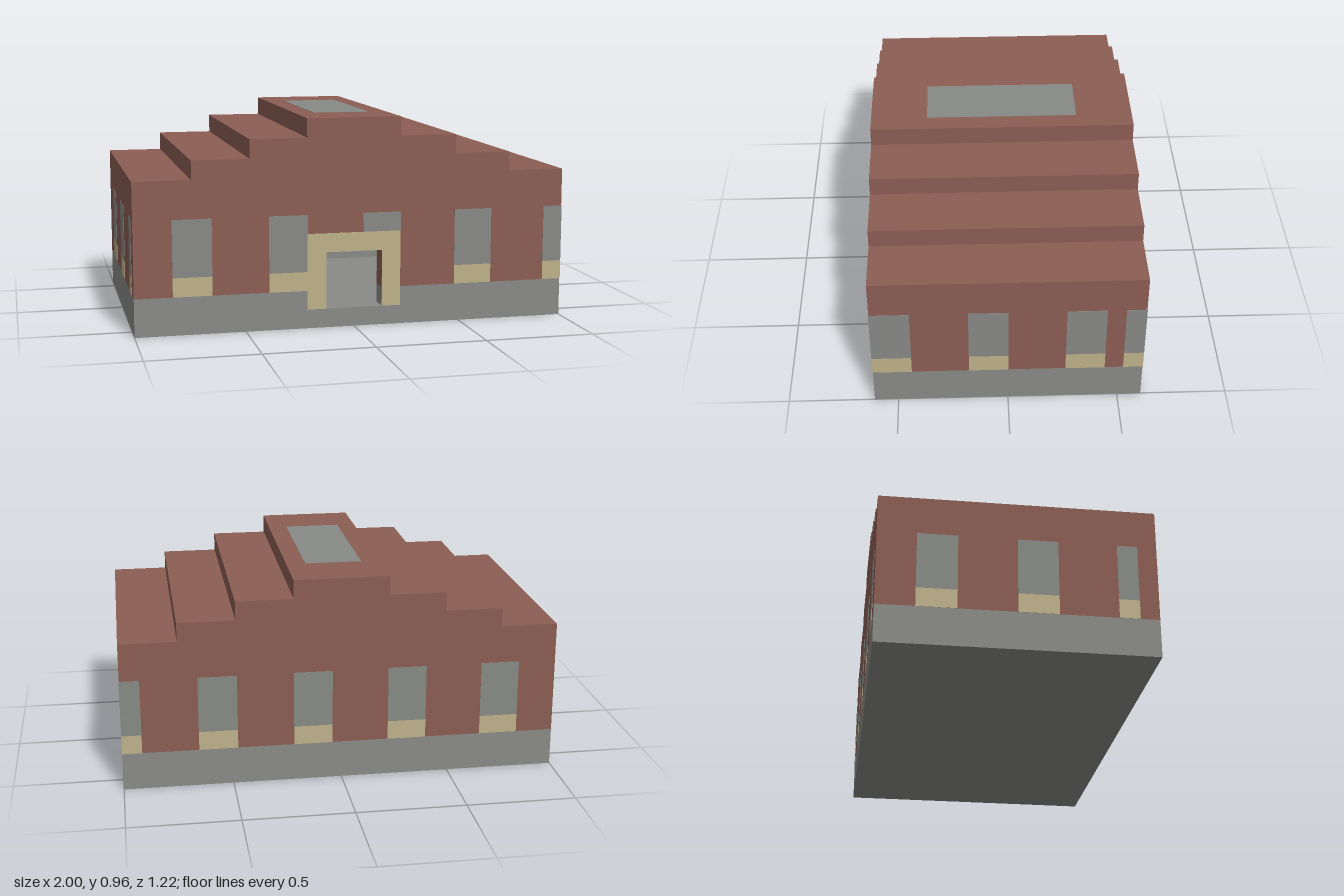
import * as THREE from 'three';

const U = 2 / 23;    // one building block; all sizes below are in blocks
const EPS = 0.02;    // how far inlaid panes stand proud of the wall

function material(name, color) {
  const m = new THREE.MeshStandardMaterial({ color });
  m.name = name;
  return m;
}

export function createModel() {
  const brick = material('red brick', 0x8c5e54);
  const stone = material('grey stone', 0x8a8a87);
  const glass = material('grey glass', 0x888a86);
  const sand = material('pale sandstone', 0xbfb28a);

  const group = new THREE.Group();
  group.name = 'steppedRoofHall';

  const add = (name, geometry, mat) => {
    const mesh = new THREE.Mesh(geometry, mat);
    mesh.name = name;
    group.add(mesh);
    return mesh;
  };
  // box from its limits, optionally grown by e in x and z
  const box = (name, mat, x0, x1, y0, y1, z0, z1, e = 0) => {
    const g = new THREE.BoxGeometry(x1 - x0 + 2 * e, y1 - y0, z1 - z0 + 2 * e);
    add(name, g, mat).position.set((x0 + x1) / 2, (y0 + y1) / 2, (z0 + z1) / 2);
  };
  const slab = (name, mat, points, z0, depth) => {
    const shape = new THREE.Shape(points.map(([x, y]) => new THREE.Vector2(x, y)));
    const g = new THREE.ExtrudeGeometry(shape, { depth, bevelEnabled: false });
    add(name, g, mat).position.z = z0;
  };

  // stone floor and plinth, open at the door
  box('floor', stone, -11.5, 11.5, 0, 1, -7, 7);
  box('plinthBack', stone, -11.5, 11.5, 1, 2, -7, -6);
  for (const s of [-1, 1]) {
    box('plinthFront', stone, Math.min(s * 1.5, s * 11.5), Math.max(s * 1.5, s * 11.5), 1, 2, 6, 7);
    box('plinthSide', stone, s * 11 - 0.5, s * 11 + 0.5, 1, 2, -6, 6);
    box('sideWall', brick, s * 11 - 0.5, s * 11 + 0.5, 2, 7, -6, 6);
  }

  // stepped gables
  const right = [[11.5, 2], [11.5, 8], [8.5, 8], [8.5, 9], [5.5, 9], [5.5, 10], [2.5, 10], [2.5, 11]];
  const outline = [...right, ...right.map(([x, y]) => [-x, y]).reverse()];
  const doorway = [[-1.5, 2], [-1.5, 4], [1.5, 4], [1.5, 2]];
  slab('backGable', brick, outline, -7, 1);
  slab('frontGable', brick, [...outline, ...doorway], 6, 1);

  // roof terraces
  for (const s of [-1, 1]) {
    [[8.5, 11.5, 8], [5.5, 8.5, 9], [2.5, 5.5, 10]].forEach(([a, b, top]) =>
      box('roofStep', brick, Math.min(s * a, s * b), Math.max(s * a, s * b), top - 1, top, -6, 6));
  }
  box('roofRidge', brick, -2.5, 2.5, 10, 11, -6, 6);
  box('skylight', glass, -1.5, 1.5, 10 - EPS, 11 + EPS, -4, 4);

  // door surround
  slab('doorFrame', sand, [[-2.5, 1], [-1.5, 1], [-1.5, 4], [1.5, 4], [1.5, 1], [2.5, 1], [2.5, 5], [-2.5, 5]],
    6 - 1.5 * EPS, 1 + 3 * EPS);

  // windows: a sandstone panel below a glass pane, set through the wall
  const windowAt = (x0, x1, z0, z1) => {
    box('windowPanel', sand, x0, x1, 2, 3, z0, z1, EPS);
    box('windowPane', glass, x0, x1, 3, 6, z0, z1, EPS);
  };
  for (const [a, b] of [[-9.5, -7.5], [-4.5, -2.5], [0.5, 2.5], [5.5, 7.5], [10.5, 11.5]]) {
    windowAt(a, b, -7, -6);
    if (a === 0.5) box('windowPane', glass, a, b, 5, 6, 6, 7, EPS); // rises above the door frame
    else windowAt(a, b, 6, 7);
  }
  for (const [a, b] of [[-5, -3], [0, 2], [5, 6]]) {
    windowAt(10.5, 11.5, a, b);
    windowAt(-11.5, -10.5, a, b);
  }

  group.scale.setScalar(U);
  const model = new THREE.Group();
  model.name = 'building';
  model.add(group);
  return model;
}
